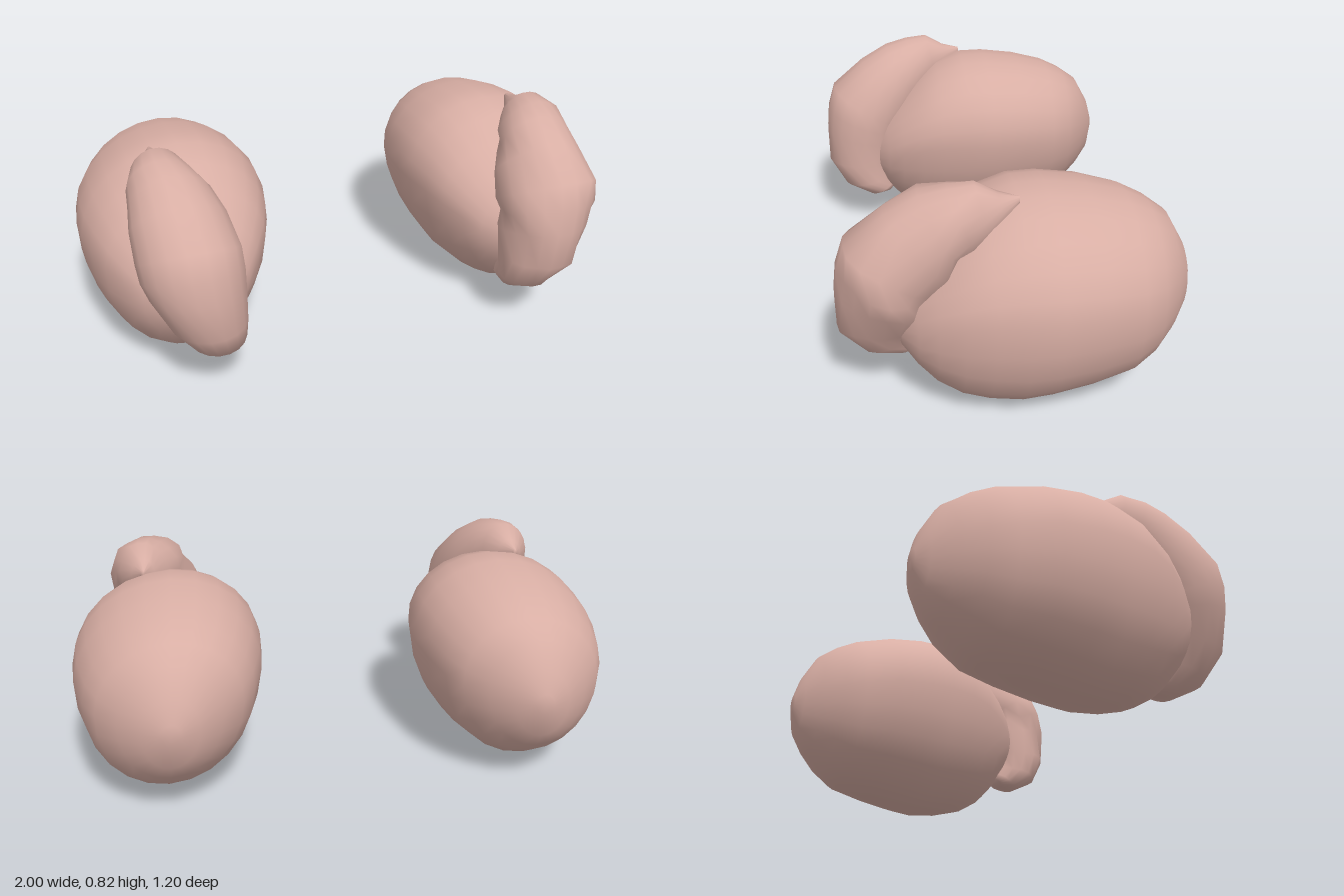
import * as THREE from 'three';

const material = new THREE.MeshStandardMaterial({ color: 0xd8aea4 });

// Skins closed rings of points and closes both ends with a fan
function loft(rings) {
  const n = rings[0].length, last = rings.length - 1, points = rings.flat(), index = [];
  for (let i = 0; i < last; i++) {
    for (let j = 0; j < n; j++) {
      const a = i * n + j, b = i * n + (j + 1) % n;
      index.push(a, b, a + n, b, b + n, a + n);
    }
  }
  const centre = (ring) => ring.reduce((sum, p) => sum.add(p), new THREE.Vector3()).divideScalar(n);
  const start = points.push(centre(rings[0])) - 1;
  const end = points.push(centre(rings[last])) - 1;
  for (let j = 0; j < n; j++) {
    const k = (j + 1) % n;
    index.push(start, k, j, end, last * n + j, last * n + k);
  }
  const geometry = new THREE.BufferGeometry().setFromPoints(points);
  geometry.setIndex(index);
  geometry.computeVertexNormals();
  return geometry;
}

// Egg-shaped body: z, bottom, top, height of the widest line, half width
const bodySections = [
  [-0.60, 0.36, 0.44, 0.40, 0.035],
  [-0.575, 0.26, 0.52, 0.40, 0.10],
  [-0.52, 0.19, 0.62, 0.41, 0.18],
  [-0.45, 0.125, 0.67, 0.42, 0.255],
  [-0.37, 0.07, 0.71, 0.43, 0.30],
  [-0.24, 0.04, 0.745, 0.45, 0.337],
  [-0.10, 0.015, 0.765, 0.455, 0.35],
  [0.00, 0.003, 0.765, 0.455, 0.345],
  [0.11, 0.015, 0.73, 0.45, 0.323],
  [0.20, 0.04, 0.665, 0.43, 0.29],
  [0.28, 0.09, 0.585, 0.40, 0.24],
  [0.34, 0.16, 0.52, 0.36, 0.19],
  [0.39, 0.23, 0.45, 0.34, 0.12],
  [0.42, 0.30, 0.38, 0.34, 0.04],
];

function bodyGeometry(side) {
  const n = 24;
  return loft(bodySections.map(([z, bottom, top, mid, half]) =>
    Array.from({ length: n }, (_, j) => {
      const a = j / n * Math.PI * 2, c = Math.cos(a), s = Math.sin(a);
      const y = mid + s * (s > 0 ? top - mid : mid - bottom);
      const lean = -0.03 * s * half / 0.35;
      return new THREE.Vector3(side * (0.65 + lean) + half * c, y, z);
    })));
}

// Crescent cap, top to bottom: outer z, outer y, inner z, inner y, centre x, half width
const capSections = [
  [0.00, 0.768, 0.00, 0.74, 0.72, 0.008],
  [0.07, 0.785, 0.05, 0.68, 0.72, 0.045],
  [0.145, 0.828, 0.10, 0.63, 0.72, 0.09],
  [0.23, 0.82, 0.14, 0.59, 0.715, 0.122],
  [0.32, 0.80, 0.18, 0.55, 0.70, 0.145],
  [0.43, 0.74, 0.21, 0.50, 0.69, 0.168],
  [0.56, 0.635, 0.25, 0.45, 0.68, 0.18],
  [0.59, 0.54, 0.26, 0.42, 0.675, 0.178],
  [0.60, 0.45, 0.28, 0.38, 0.665, 0.165],
  [0.60, 0.31, 0.30, 0.30, 0.64, 0.135],
  [0.535, 0.20, 0.32, 0.24, 0.61, 0.105],
  [0.43, 0.145, 0.32, 0.20, 0.595, 0.075],
  [0.36, 0.15, 0.32, 0.18, 0.585, 0.035],
];

function capGeometry(side, lumps) {
  const n = 18;
  return loft(capSections.map(([oz, oy, iz, iy, cx, half], i) =>
    Array.from({ length: n }, (_, j) => {
      const a = j / n * Math.PI * 2, c = Math.cos(a), s = Math.sin(a);
      // Uneven swelling of the surface, fading out on the outer crest
      const swell = 1 + lumps * (Math.sin(3 * a + i * 1.9) + 0.7 * Math.sin(5 * a - i * 2.6));
      const crest = s > 0.9 ? 1 : swell;
      return new THREE.Vector3(
        side * cx + half * c * swell,
        (oy + iy) / 2 + (oy - iy) / 2 * s * crest,
        (oz + iz) / 2 + (oz - iz) / 2 * s * crest);
    })));
}

export function createModel() {
  const model = new THREE.Group();
  model.name = 'pairedOvoidOrgans';
  // The left cap is lumpy, the right one smooth
  for (const [label, side, lumps] of [['left', 1, 0.05], ['right', -1, 0]]) {
    const organ = new THREE.Group();
    organ.name = label + 'Organ';
    const body = new THREE.Mesh(bodyGeometry(side), material);
    body.name = label + 'Body';
    const cap = new THREE.Mesh(capGeometry(side, lumps), material);
    cap.name = label + 'CrescentCap';
    organ.add(body, cap);
    model.add(organ);
  }
  return model;
}
